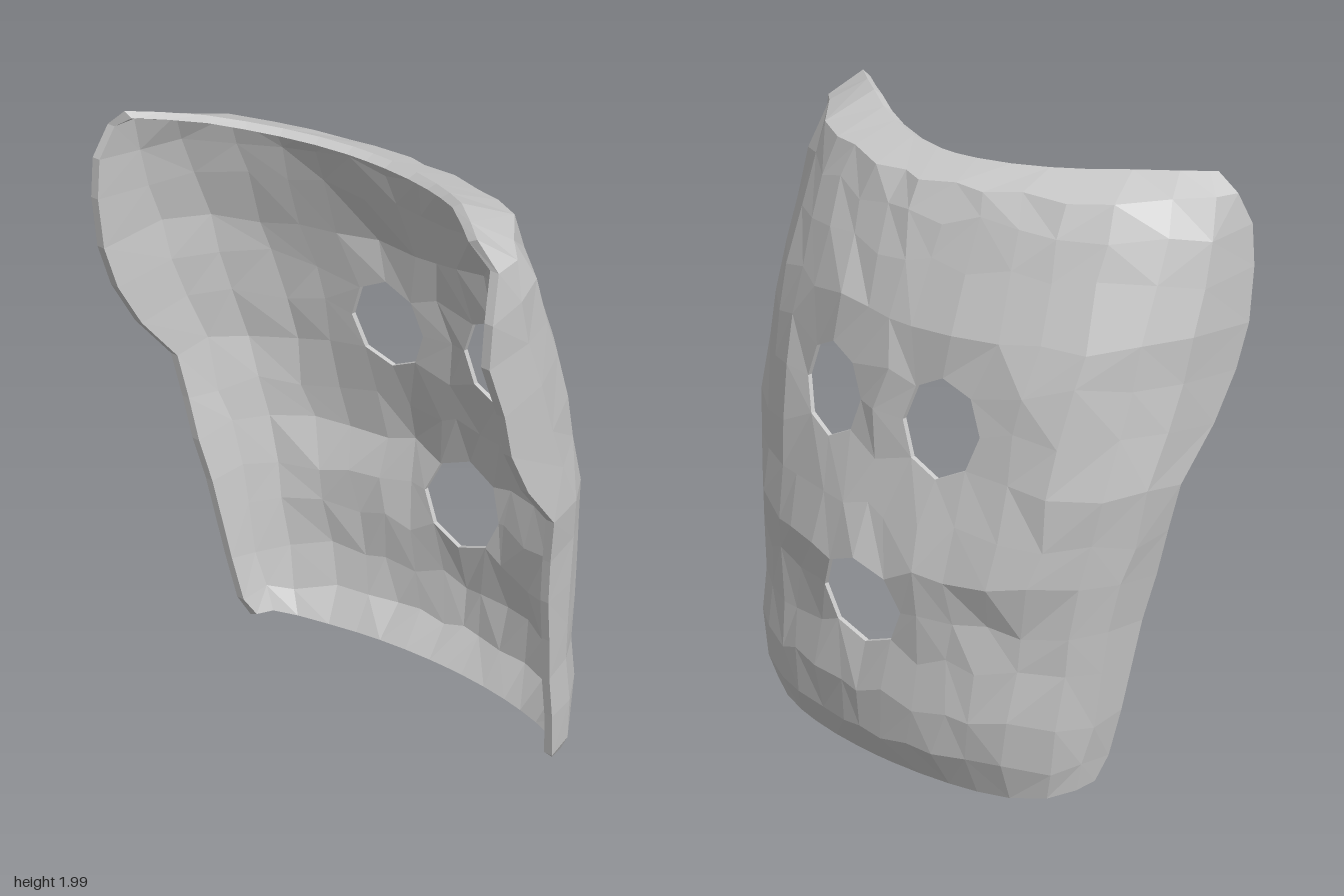
import * as THREE from 'three';

// Cross-sections from chin to crown: height, centre x, edge x, right z, left z, curve power
const SECTIONS = [
  [0.03, 0.30, 0.04, -0.58, 0.72, 0.95],
  [0.14, 0.365, 0.00, -0.60, 0.75, 0.9],
  [0.30, 0.39, -0.02, -0.63, 0.76, 0.9],
  [0.45, 0.37, -0.04, -0.65, 0.76, 0.9],
  [0.60, 0.385, -0.06, -0.67, 0.77, 0.9],
  [0.75, 0.41, -0.085, -0.70, 0.78, 0.9],
  [0.90, 0.37, -0.095, -0.73, 0.79, 0.87],
  [1.05, 0.345, -0.11, -0.76, 0.81, 0.82],
  [1.21, 0.335, -0.24, -0.78, 0.815, 0.77],
  [1.36, 0.32, -0.32, -0.795, 0.815, 0.75],
  [1.50, 0.28, -0.355, -0.81, 0.815, 0.76],
  [1.67, 0.22, -0.42, -0.81, 0.81, 0.8],
  [1.80, 0.175, -0.41, -0.805, 0.81, 0.9],
  [1.885, 0.135, -0.36, -0.785, 0.785, 1.1],
  [1.935, 0.0, -0.35, -0.72, 0.70, 2.1],
];
// Columns across the face, from the right edge (-1) to the left edge (1)
const COLUMNS = [-1, -0.975, -0.88, -0.72, -0.56, -0.41, -0.245, -0.08, 0.03,
  0.145, 0.31, 0.47, 0.6, 0.74, 0.88, 0.975, 1];
// Openings: grid row, grid column, z, y, radius across, radius up
const HOLES = [
  [8, 6, -0.18, 1.2, 0.135, 0.155],
  [8, 10, 0.26, 1.215, 0.13, 0.15],
  [4, 8, 0.07, 0.6, 0.158, 0.15],
];
// Soft dents and bumps: z, y, radius, height
const RELIEF = [
  [-0.18, 1.22, 0.17, -0.04], [0.26, 1.22, 0.17, -0.04],
  [-0.22, 1.5, 0.1, 0.015], [0.28, 1.5, 0.1, 0.015],
  [-0.35, 0.62, 0.13, -0.025], [0.42, 0.62, 0.13, -0.025],
];
// Shell thickness over the face and along the rim
const WALL = 0.016, RIM = 0.03;

function seeded(seed) {
  return () => {
    seed = (seed * 16807) % 2147483647;
    return seed / 2147483647;
  };
}

// Section values at any height
function sectionAt(y) {
  let i = 0;
  while (i < SECTIONS.length - 2 && y > SECTIONS[i + 1][0]) i++;
  const a = SECTIONS[i], b = SECTIONS[i + 1];
  const t = THREE.MathUtils.clamp((y - a[0]) / (b[0] - a[0]), 0, 1);
  return a.map((v, k) => THREE.MathUtils.lerp(v, b[k], t));
}

// Curved face surface: x for a height and a position across, fuller on the right side
function surfaceX(section, u, z, y, inset) {
  const [, centre, edge, , , power] = section;
  const back = edge + (u < 0 && y > 1.5 ? 0.05 * -u : 0);
  const arc = Math.pow(Math.max(0, 1 - u * u), power * (u < 0 ? 0.45 : 0.5));
  let x = back + (centre - inset - back) * arc;
  for (const [rz, ry, r, h] of RELIEF) {
    x += h * Math.exp(-((z - rz) ** 2 + (y - ry) ** 2) / (r * r));
  }
  return x;
}

// One skin of the shell as a grid of points, with octagons snapped round the openings
function skin(inner) {
  const random = seeded(77);
  const last = SECTIONS.length - 1;
  const points = [];
  for (let i = 0; i <= last; i++) {
    COLUMNS.forEach((u, j) => {
      const edge = j === 0 || j === COLUMNS.length - 1;
      const border = edge || i === 0 || i === last;
      const inset = inner ? (border ? RIM : WALL) : 0;
      let section = SECTIONS[i];
      let y = section[0];
      let z = (section[4] + section[3]) / 2 + ((section[4] - section[3]) / 2 - inset) * u;
      const loose = i < last - 1 ? 1 : 0.3;
      const jy = (random() - 0.5) * 0.05 * loose, jz = (random() - 0.5) * 0.05;
      const jx = (random() - 0.5) * 0.014;
      let snapped = false;
      for (const [hi, hj, hz, hy, rz, ry] of HOLES) {
        const di = i - hi, dj = j - hj;
        if (Math.max(Math.abs(di), Math.abs(dj)) !== 1) continue;
        const angle = Math.atan2(di, dj);
        z = hz + rz * Math.cos(angle);
        y = hy + ry * Math.sin(angle);
        snapped = true;
      }
      if (!border) {
        if (!snapped) {
          y += jy;
          z += jz * (1 - u * u);
        }
        section = sectionAt(y);
      }
      const width = (section[4] - section[3]) / 2 - inset;
      const across = THREE.MathUtils.clamp((z - (section[4] + section[3]) / 2) / width, -1, 1);
      const x = surfaceX(section, across, z, y, inset) + (border ? 0 : jx);
      // Chin underside with raised corners
      if (i === 0) y += 0.05 * u ** 8 + 0.02 * u - 0.01 * (1 - u * u) + inset * 0.4;
      // Dipped crown with its shoulder following
      if (i >= last - 1) {
        const rise = (u > 0 ? 0.065 : 0.02) * Math.min(1, u * u * 1.8);
        y += i === last ? rise - inset * 0.5 : rise * 0.7;
      }
      points.push([x, y, z]);
    });
  }
  return points;
}

function shellGeometry() {
  const random = seeded(5);
  const n = COLUMNS.length;
  const points = [...skin(false), ...skin(true)];
  const count = points.length / 2;
  const faces = [];
  // Outer faces, leaving the four cells round each opening empty
  for (let i = 0; i < SECTIONS.length - 1; i++) {
    for (let j = 0; j < n - 1; j++) {
      const open = HOLES.some(([hi, hj]) =>
        (i === hi || i === hi - 1) && (j === hj || j === hj - 1));
      if (open) continue;
      const a = i * n + j, b = a + 1, c = b + n, d = a + n;
      if (random() < 0.5) faces.push([a, d, c], [a, c, b]);
      else faces.push([a, d, b], [d, c, b]);
    }
  }
  // Inner faces, then walls along every free edge
  const edges = new Set();
  for (const f of faces) f.forEach((v, k) => edges.add(v + '_' + f[(k + 1) % 3]));
  const all = [...faces, ...faces.map(([a, b, c]) => [a + count, c + count, b + count])];
  for (const key of edges) {
    const [a, b] = key.split('_').map(Number);
    if (edges.has(b + '_' + a)) continue;
    all.push([b, a, a + count], [b, a + count, b + count]);
  }
  const geometry = new THREE.BufferGeometry();
  const positions = all.flat().flatMap((v) => points[v]);
  geometry.setAttribute('position', new THREE.Float32BufferAttribute(positions, 3));
  geometry.computeVertexNormals();
  return geometry;
}

export function createModel() {
  const group = new THREE.Group();
  group.name = 'mask';
  const paleGrey = new THREE.MeshStandardMaterial({ color: 0xc8c8c8 });
  paleGrey.name = 'pale grey';
  paleGrey.flatShading = true;
  paleGrey.side = THREE.DoubleSide;
  const shell = new THREE.Mesh(shellGeometry(), paleGrey);
  shell.name = 'maskShell';
  group.add(shell);
  return group;
}
